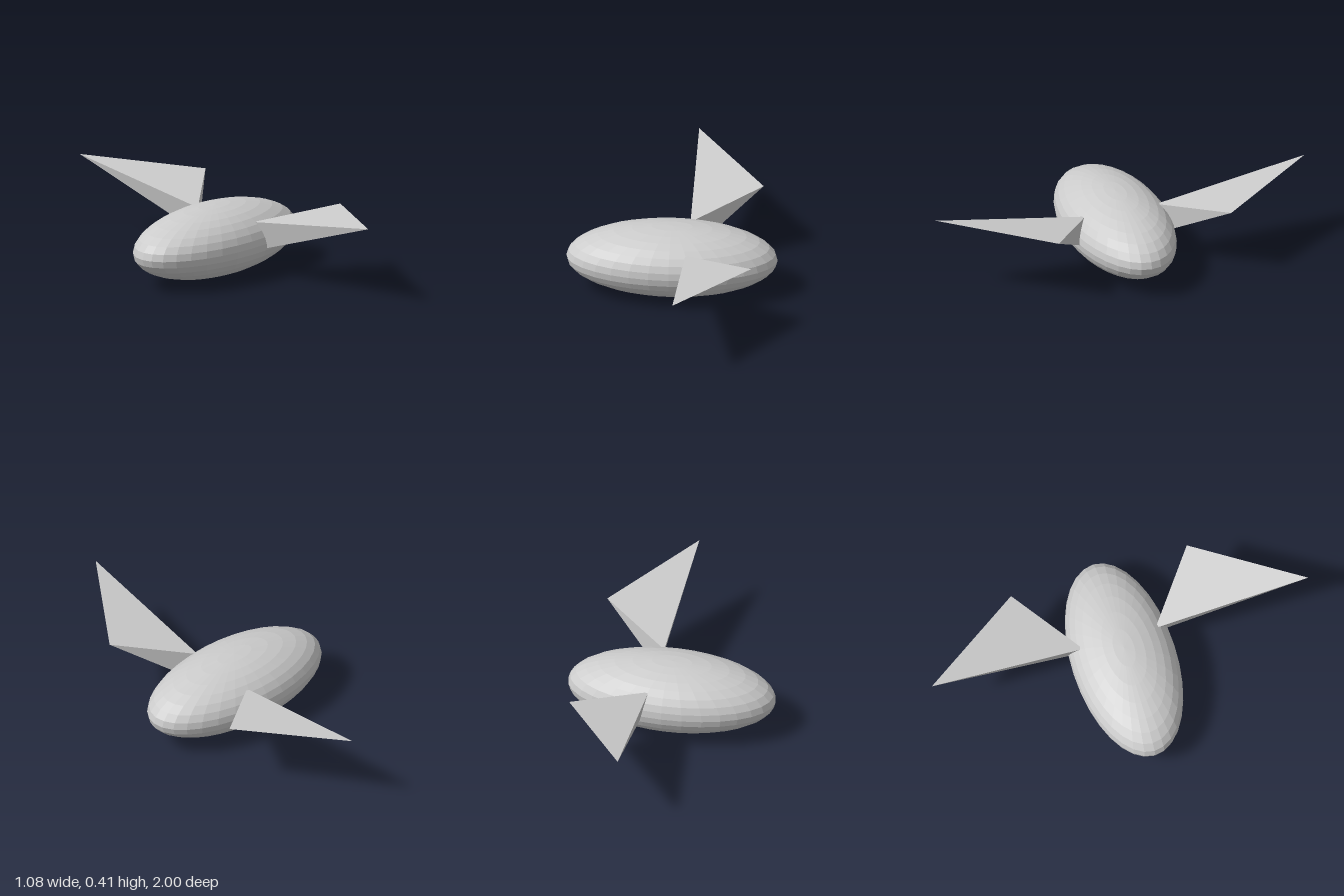
import * as THREE from 'three';
import { ConvexGeometry } from 'three/addons/geometries/ConvexGeometry.js';

const material = new THREE.MeshStandardMaterial({ color: 0xcccccc, flatShading: true });

// Four-cornered wing; side = 1 for the +z wing, -1 for its mirror image
function createWing(side) {
  const corners = [
    [0.07, 0.413, 1.0],    // tip
    [0.435, 0.365, 0.467], // leading corner
    [0.114, 0.142, 0.217], // lower root, inside the body
    [0.081, 0.288, 0.192], // upper root, just under the skin
  ].map(([x, y, z]) => new THREE.Vector3(x, y, z * side));
  const wing = new THREE.Mesh(new ConvexGeometry(corners), material);
  wing.name = side > 0 ? 'frontWing' : 'backWing';
  return wing;
}

export function createModel() {
  const model = new THREE.Group();
  model.name = 'wingedBody';

  // Faceted ellipsoid body, long in x
  const shape = new THREE.SphereGeometry(1, 32, 16);
  shape.scale(0.538, 0.181, 0.268);
  shape.translate(0, 0.181, 0);
  const body = new THREE.Mesh(shape, material);
  body.name = 'body';
  model.add(body);

  // Wings mirrored across the body
  for (const side of [1, -1]) model.add(createWing(side));
  return model;
}
